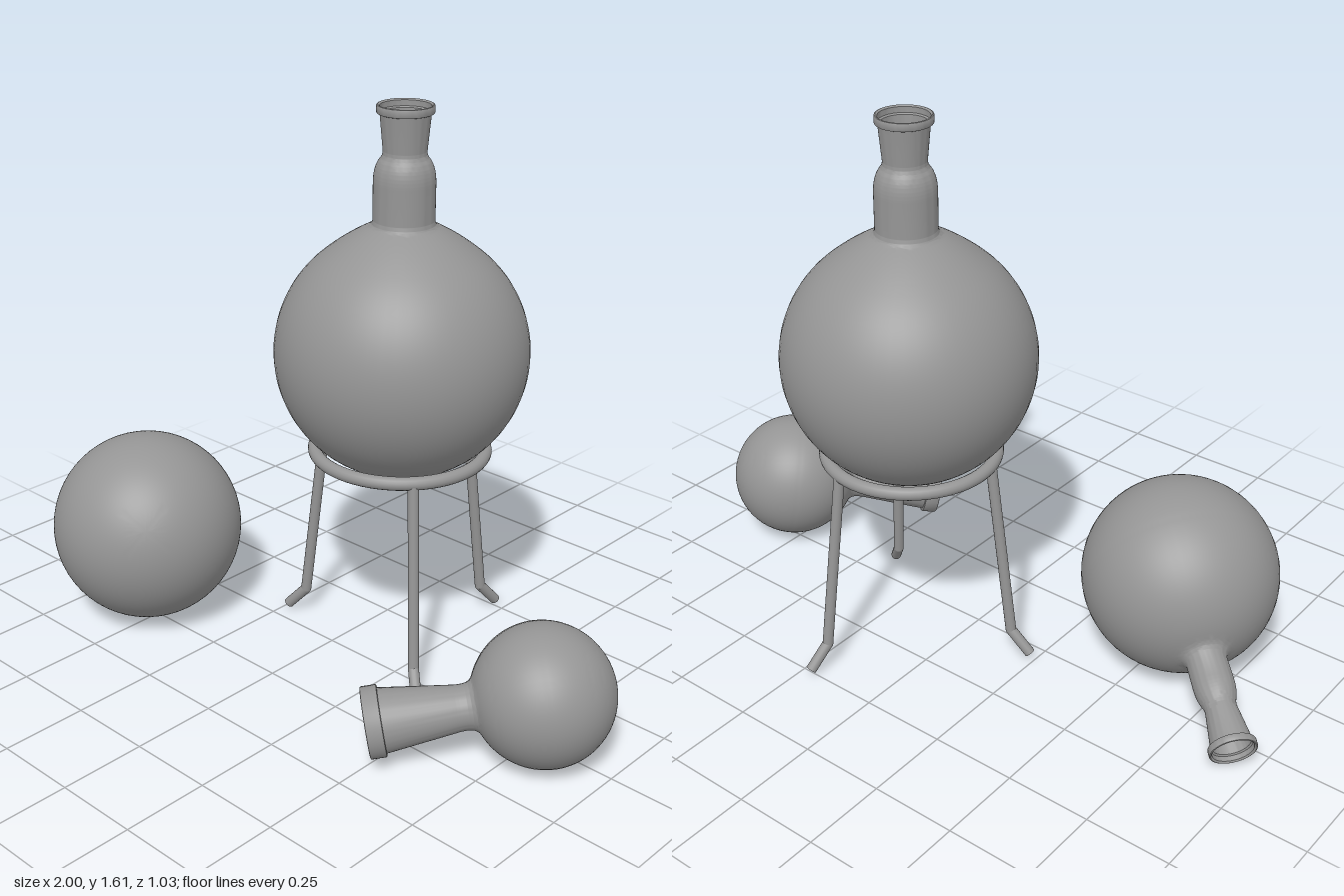
import * as THREE from 'three';
import { toCreasedNormals } from 'three/addons/utils/BufferGeometryUtils.js';

const glass = new THREE.MeshStandardMaterial({ color: 0x959595 });
const metal = new THREE.MeshStandardMaterial({ color: 0x959595 });
const UP = new THREE.Vector3(0, 1, 0);
const v = (x, y, z) => new THREE.Vector3(x, y, z);

// Round-bottom flask: origin at the bulb centre, neck along +y.
// drawNeck continues the outer profile from the bulb up to the lip.
function makeFlask(name, { radius, neckAngle, lip, drawNeck }) {
  const wall = 0.005;
  const path = new THREE.Path();
  path.absarc(0, 0, radius, -Math.PI / 2, THREE.MathUtils.degToRad(neckAngle), false);
  drawNeck(path);
  const outer = path.getPoints(24);
  outer[0].x = 0;

  // Inner wall: the outer profile moved in by the wall thickness
  const inner = outer.map((p, i) => {
    const a = outer[Math.max(i - 1, 0)], b = outer[Math.min(i + 1, outer.length - 1)];
    const d = b.clone().sub(a).normalize();
    return new THREE.Vector2(i === 0 ? 0 : Math.max(p.x - d.y * wall, 0), p.y + d.x * wall);
  });
  inner[0].y = -radius + wall;

  // Rounded lip band, stepped out on the inside as well
  const { r, y0, y1 } = lip, c = 0.004;
  const rim = [[r - c, y0], [r - c * 0.3, y0 + c * 0.3], [r, y0 + c], [r, y1 - c],
    [r - c * 0.3, y1 - c * 0.3], [r - c, y1], [r - wall - c, y1 - c], [r - wall - c, y0 + c]]
    .map(([x, y]) => new THREE.Vector2(x, y));

  const profile = [...outer, ...rim, ...inner.reverse()];
  const mesh = new THREE.Mesh(toCreasedNormals(new THREE.LatheGeometry(profile, 56), 0.6), glass);
  mesh.name = name;
  return mesh;
}

// Place a flask by its bulb centre and the centre of its mouth
function layFlask(flask, centre, mouth) {
  flask.position.copy(centre);
  flask.quaternion.setFromUnitVectors(UP, mouth.clone().sub(centre).normalize());
  return flask;
}

// Round rod between two points
function makeRod(name, a, b, r) {
  const rod = new THREE.Mesh(new THREE.CylinderGeometry(r, r, a.distanceTo(b), 16), metal);
  rod.position.copy(a).lerp(b, 0.5);
  rod.quaternion.setFromUnitVectors(UP, b.clone().sub(a).normalize());
  rod.name = name;
  return rod;
}

function makeTripod() {
  const tripod = new THREE.Group();
  tripod.name = 'tripodStand';
  const ring = new THREE.Mesh(new THREE.TorusGeometry(0.243, 0.019, 16, 64), metal);
  ring.rotation.x = Math.PI / 2;
  ring.position.y = 0.626;
  ring.name = 'supportRing';
  tripod.add(ring);

  // Three splayed legs with out-turned feet
  for (const degrees of [40, 165, -76]) {
    const leg = new THREE.Group();
    leg.name = 'tripodLeg';
    const top = v(0.245, 0.625, 0), knee = v(0.31, 0.085, 0), toe = v(0.371, 0.018, 0);
    const joint = new THREE.Mesh(new THREE.SphereGeometry(0.0155, 16, 12), metal);
    joint.position.copy(knee);
    joint.name = 'legBend';
    leg.add(makeRod('legRod', top, knee, 0.0155), joint, makeRod('foot', knee, toe, 0.0155));
    leg.rotation.y = -THREE.MathUtils.degToRad(degrees);
    tripod.add(leg);
  }
  return tripod;
}

export function createModel() {
  const model = new THREE.Group();
  model.name = 'flasksAndTripod';

  // Large flask standing on the tripod
  const large = makeFlask('largeFlask', {
    radius: 0.357, neckAngle: 50.5,
    lip: { r: 0.078, y0: 0.67, y1: 0.694 },
    drawNeck: (p) => {
      p.quadraticCurveTo(0.165, 0.327, 0.097, 0.361);
      p.quadraticCurveTo(0.085, 0.367, 0.085, 0.382);
      p.lineTo(0.085, 0.48);
      p.quadraticCurveTo(0.085, 0.525, 0.067, 0.548);
      p.quadraticCurveTo(0.058, 0.558, 0.06, 0.574);
      p.lineTo(0.069, 0.67);
    },
  });
  large.position.set(0.127, 0.92, -0.148);
  const tripod = makeTripod();
  tripod.position.set(0.126, 0, -0.148);

  // Medium flask lying on its side
  const medium = makeFlask('mediumFlask', {
    radius: 0.283, neckAngle: 73,
    lip: { r: 0.067, y0: 0.549, y1: 0.571 },
    drawNeck: (p) => {
      p.quadraticCurveTo(0.06, 0.278, 0.057, 0.298);
      p.lineTo(0.058, 0.365);
      p.quadraticCurveTo(0.058, 0.4, 0.048, 0.423);
      p.quadraticCurveTo(0.043, 0.435, 0.045, 0.45);
      p.lineTo(0.058, 0.549);
    },
  });
  layFlask(medium, v(-0.552, 0.285, 0.232), v(-0.952, 0.073, -0.115));

  // Small wide-necked flask lying on its side
  const small = makeFlask('smallFlask', {
    radius: 0.193, neckAngle: 66,
    lip: { r: 0.095, y0: 0.426, y1: 0.471 },
    drawNeck: (p) => {
      p.quadraticCurveTo(0.063, 0.183, 0.061, 0.205);
      p.quadraticCurveTo(0.06, 0.22, 0.063, 0.24);
      p.lineTo(0.086, 0.426);
    },
  });
  layFlask(small, v(0.805, 0.194, 0.048), v(0.479, 0.118, 0.384));

  model.add(large, tripod, medium, small);
  return model;
}
